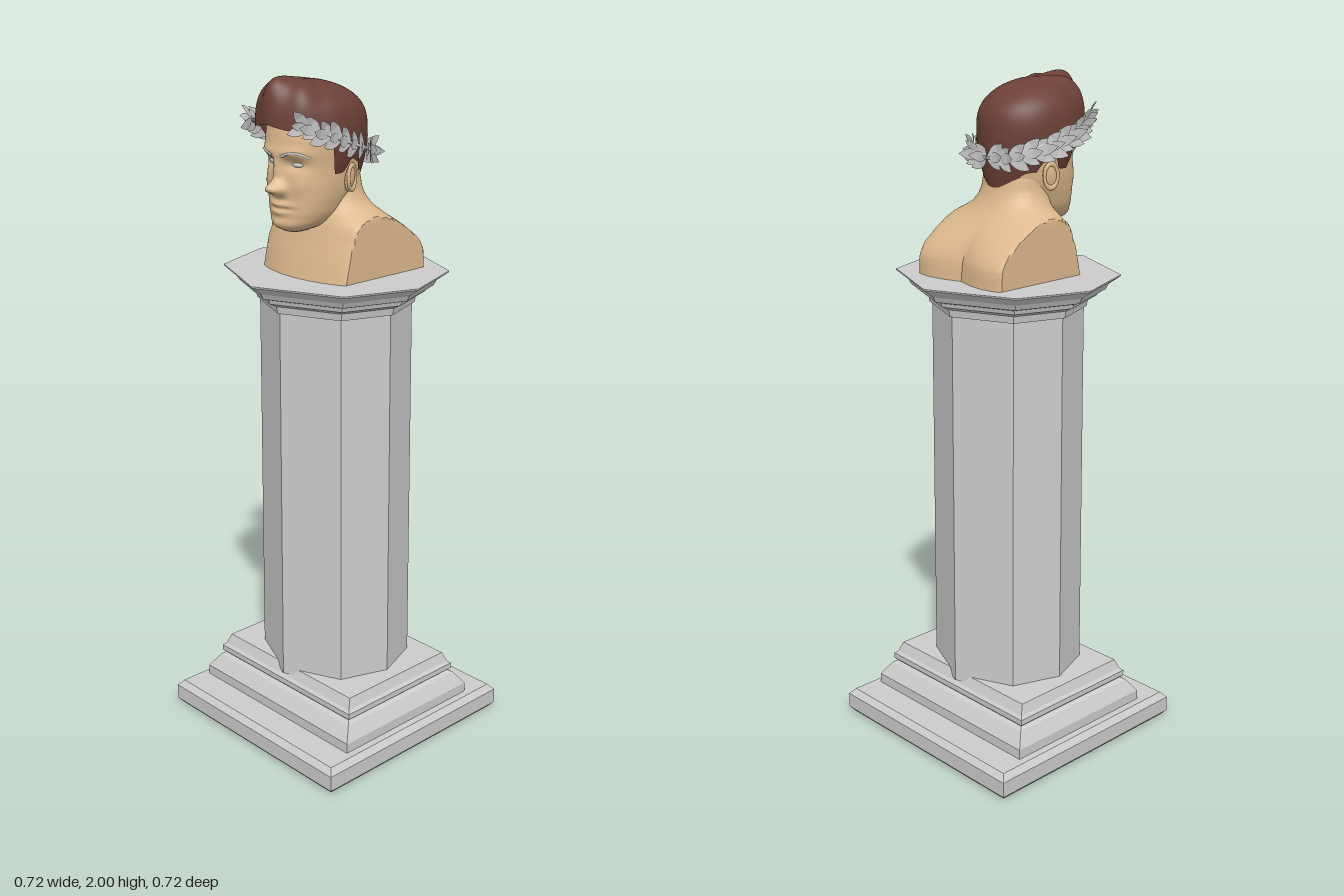
import * as THREE from 'three';
import { toCreasedNormals } from 'three/addons/utils/BufferGeometryUtils.js';

const GREY = 0xcccccc, SKIN = 0xdcb88c, HAIR = 0x6b4037;
const gauss = (d, s) => Math.exp(-(d * d) / (2 * s * s));
const spow = (v, p) => Math.sign(v) * Math.abs(v) ** p;

function material(color, flat = false) {
  return new THREE.MeshStandardMaterial({ color, flatShading: flat, side: THREE.DoubleSide });
}

function addMesh(parent, name, geometry, mat) {
  const mesh = new THREE.Mesh(geometry, mat);
  mesh.name = name;
  parent.add(mesh);
  return mesh;
}

// Skin over closed rings of [x, y, z] points, listed from bottom to top
function loft(rings, capped = true) {
  const n = rings[0].length, pos = rings.flat(2), index = [];
  for (let i = 0; i < rings.length - 1; i++) {
    for (let j = 0; j < n; j++) {
      const k = (j + 1) % n, a = i * n, b = a + n;
      index.push(a + j, a + k, b + k, a + j, b + k, b + j);
    }
  }
  if (capped) {
    const last = (rings.length - 1) * n, c = rings.length * n;
    pos.push(0, rings[0][0][1], 0, 0, rings.at(-1)[0][1], 0);
    for (let j = 0; j < n; j++) {
      const k = (j + 1) % n;
      index.push(c, k, j, c + 1, last + j, last + k);
    }
  }
  const g = new THREE.BufferGeometry();
  g.setAttribute('position', new THREE.Float32BufferAttribute(pos, 3));
  g.setIndex(index);
  g.computeVertexNormals();
  return g;
}

// Smooth lookup in a table of [y, front z, back z, half width]
function profile(table) {
  const curve = new THREE.CubicInterpolant(table.map(r => r[0]), table.flatMap(r => r.slice(1)), 3);
  return y => {
    const [front, back, w] = curve.evaluate(y);
    return { w, zc: (front + back) / 2, d: (front - back) / 2 };
  };
}

function smoothRings(y0, y1, rows, seg, point) {
  return Array.from({ length: rows + 1 }, (_, i) =>
    Array.from({ length: seg }, (_, j) => point(j / seg * Math.PI * 2, y0 + (y1 - y0) * i / rows)));
}

// Face relief: [x, y, spread x, spread y, height], mirrored in x
const RELIEF = [
  [0, 1.75, 0.012, 0.03, 0.02], [0, 1.7, 0.016, 0.014, 0.042], [0.018, 1.694, 0.008, 0.008, 0.014],
  [0.045, 1.797, 0.03, 0.01, 0.008], [0.05, 1.765, 0.02, 0.012, -0.014],
  [0, 1.654, 0.025, 0.006, 0.013], [0, 1.633, 0.02, 0.007, 0.011], [0, 1.643, 0.03, 0.003, -0.006],
  [0, 1.6, 0.022, 0.014, 0.008], [0.07, 1.71, 0.02, 0.02, 0.006],
];
const relief = (x, y) => RELIEF.reduce((s, [bx, by, sx, sy, h]) =>
  s + h * gauss(Math.abs(x) - bx, sx) * gauss(y - by, sy), 0);

const headAt = profile([
  [1.575, 0.185, 0.12, 0.03], [1.59, 0.208, 0.075, 0.06], [1.62, 0.212, 0.03, 0.085],
  [1.66, 0.211, 0, 0.1], [1.7, 0.211, -0.04, 0.109], [1.76, 0.211, -0.055, 0.114],
  [1.8, 0.218, -0.065, 0.118], [1.85, 0.212, -0.065, 0.12], [1.9, 0.195, -0.05, 0.11], [1.94, 0.15, 0, 0.07],
]);
const faceZ = (x, y) => {
  const { w, zc, d } = headAt(y), p = 2 / 0.85;
  return zc + d * (1 - Math.abs(x / w) ** p) ** (1 / p) + relief(x, y);
};
const headPoint = (a, y) => {
  const { w, zc, d } = headAt(y), c = Math.cos(a);
  const x = w * spow(Math.sin(a), 0.85);
  return [x, y, zc + d * spow(c, 0.85) + (c > 0 ? relief(x, y) * Math.min(1, c * 3) : 0)];
};

// Neck and shoulders, cut off straight at the arms, with a groove down the back
const torsoAt = profile([
  [1.44, 0.165, -0.18, 0.27], [1.5, 0.148, -0.172, 0.27], [1.55, 0.132, -0.15, 0.25], [1.59, 0.12, -0.118, 0.22],
  [1.61, 0.115, -0.1, 0.18], [1.635, 0.11, -0.08, 0.135], [1.67, 0.11, -0.062, 0.108], [1.72, 0.1, -0.05, 0.098],
]);
const torsoPoint = (a, y) => {
  const { w, zc, d } = torsoAt(y), c = Math.cos(a);
  const x = THREE.MathUtils.clamp(w * Math.sin(a), -0.172, 0.172);
  const blade = 0.065 * Math.min(1, Math.abs(x) / 0.17) * Math.max(0, -c) * THREE.MathUtils.smoothstep(1.62 - y, 0, 0.13);
  return [x, y, zc + d * c - blade];
};

// Hairline height by angle from the front, in degrees
const HAIRLINE = [[0, 1.87], [60, 1.85], [75, 1.81], [80, 1.74], [92, 1.74], [100, 1.78],
  [115, 1.76], [125, 1.7], [180, 1.69]];
function hairline(a) {
  const deg = Math.abs(THREE.MathUtils.radToDeg(Math.atan2(Math.sin(a), Math.cos(a))));
  const i = Math.max(1, HAIRLINE.findIndex(h => h[0] >= deg - 1e-6));
  const [p, q] = [HAIRLINE[i - 1], HAIRLINE[i]];
  return THREE.MathUtils.mapLinear(deg, p[0], q[0], p[1], q[1]);
}
const hairPoint = (a, v) => {
  const cy = 1.84, ry = 0.143, c = Math.cos(a), s = Math.sin(a), front = Math.max(0, c);
  const low = (hairline(a) - cy) / ry;
  const t = low + (1 - low) * Math.sin(v * Math.PI / 2);
  let r = t > 0 ? Math.sqrt(Math.max(0, 1 - t ** 3)) : 1;
  r = THREE.MathUtils.lerp(r, r ** 0.3, front ** 3);
  const lock = 1 + 0.05 * Math.cos(8 * a) * front * Math.max(0, t);
  const under = t < 0 ? t * t : 0;
  const x = 0.14 * s * r * lock * (1 - 0.3 * under);
  const z = 0.09 + 0.165 * c * r * lock * (1 - 0.1 * under);
  const wave = 0.006 * Math.cos(8 * a) * front * r * Math.max(0, t);
  return [x, cy + ry * t + 0.12 * (z - 0.09) * Math.max(0, t) + wave, z];
};

// Pointed leaf with a fold along its midrib
function leafGeometry() {
  const shape = new THREE.Shape();
  shape.quadraticCurveTo(0.03, 0.03, 0, 0.068);
  shape.quadraticCurveTo(-0.03, 0.03, 0, 0);
  const g = new THREE.ShapeGeometry(shape, 5), p = g.attributes.position;
  for (let i = 0; i < p.count; i++) p.setZ(i, -0.35 * Math.abs(p.getX(i)));
  g.computeVertexNormals();
  return g;
}

function addWreath(parent) {
  const wreath = new THREE.Group();
  wreath.name = 'wreath';
  parent.add(wreath);
  const leaf = leafGeometry(), mat = material(GREY, true);
  for (const side of [1, -1]) {
    const curve = new THREE.CatmullRomCurve3([
      [0, 1.775, -0.078], [0.07, 1.78, -0.062], [0.122, 1.797, 0], [0.142, 1.822, 0.08],
      [0.135, 1.85, 0.155], [0.112, 1.87, 0.205],
    ].map(([x, y, z]) => new THREE.Vector3(x * side, y, z)));
    addMesh(wreath, 'wreathStem', new THREE.TubeGeometry(curve, 30, 0.006, 6), mat);
    for (let i = 0; i < 12; i++) {
      const u = i / 11, p = curve.getPointAt(u), tangent = curve.getTangentAt(u);
      const out = new THREE.Vector3(p.x, 0, p.z - 0.08).normalize();
      const up = out.clone().cross(tangent).normalize();
      // three leaves at each node, fanned around the stem
      [-0.6, 0.05, 0.6].forEach((fan, k) => {
        const dir = tangent.clone().addScaledVector(up, fan).addScaledVector(out, k === 1 ? 0.3 : 0.15).normalize();
        const across = dir.clone().cross(out).normalize();
        const normal = across.clone().cross(dir);
        const mesh = addMesh(wreath, 'wreathLeaf', leaf, mat);
        mesh.quaternion.setFromRotationMatrix(new THREE.Matrix4().makeBasis(across, dir, normal));
        mesh.position.copy(p).addScaledVector(out, 0.004);
        mesh.scale.setScalar(0.9 + 0.1 * ((i + k) % 3) - (u > 0.9 ? 0.1 : 0));
      });
    }
  }
}

function addPedestal(parent) {
  const stone = material(GREY, true);
  const rect = ([x, z, y]) => [[-x, y, z], [x, y, z], [x, y, -z], [-x, y, -z]];
  addMesh(parent, 'baseSlab', loft([[0.345, 0.345, 0], [0.358, 0.358, 0.015], [0.358, 0.358, 0.062],
    [0.342, 0.342, 0.08]].map(rect)), stone);
  addMesh(parent, 'steppedPlinth', loft([[0.32, 0.257, 0.08], [0.32, 0.257, 0.11], [0.295, 0.228, 0.15],
    [0.283, 0.215, 0.158], [0.291, 0.222, 0.165], [0.291, 0.222, 0.182], [0.282, 0.213, 0.19],
    [0.272, 0.2, 0.22]].map(rect)), stone);

  // Octagon with a corner facing the front, sized by its half width
  const octagon = ([r, y]) => [[0, 0.963], [0.764, 0.63], [1, 0], [0.764, -0.63], [0, -0.963], [-0.764, -0.63],
    [-1, 0], [-0.764, 0.63]].map(([x, z]) => [x * r, y, z * r]);
  addMesh(parent, 'shaft', loft([[0.229, 0.2], [0.224, 1.36]].map(octagon)), stone);
  addMesh(parent, 'capital', loft([[0.232, 1.345], [0.236, 1.366], [0.262, 1.378], [0.266, 1.39], [0.286, 1.396],
    [0.295, 1.412], [0.33, 1.436], [0.33, 1.44]].map(octagon)), stone);
}

function addBust(parent) {
  const skin = material(SKIN), grey = material(GREY);
  const torso = loft(smoothRings(1.44, 1.72, 40, 96, torsoPoint), false);
  addMesh(parent, 'neckAndShoulders', toCreasedNormals(torso, 0.6), skin);
  addMesh(parent, 'head', loft(smoothRings(1.575, 1.94, 90, 120, headPoint)), skin);
  addMesh(parent, 'hair', loft(smoothRings(0, 1, 36, 120, hairPoint), false), material(HAIR));
  for (const side of [1, -1]) {
    const eye = addMesh(parent, 'eye', new THREE.SphereGeometry(1, 20, 12), grey);
    eye.scale.set(0.019, 0.0075, 0.008);
    eye.position.set(side * 0.05, 1.765, faceZ(0.05, 1.765) - 0.002);
    eye.rotation.y = side * 0.3;
    const brow = new THREE.CatmullRomCurve3([[0.02, 1.787], [0.045, 1.797], [0.07, 1.798], [0.09, 1.785]]
      .map(([x, y]) => new THREE.Vector3(side * x, y, faceZ(x, y))));
    addMesh(parent, 'eyebrow', new THREE.TubeGeometry(brow, 16, 0.0035, 6), grey);
    const ear = addMesh(parent, 'ear', new THREE.SphereGeometry(1, 16, 12), skin);
    ear.scale.set(0.01, 0.038, 0.023);
    ear.position.set(side * 0.115, 1.722, 0.055);
    ear.rotation.set(-0.2, side * 0.35, 0);
    const rim = addMesh(parent, 'earRim', new THREE.TorusGeometry(0.021, 0.005, 8, 20), skin);
    rim.scale.set(1, 1.6, 1);
    rim.position.set(side * 0.121, 1.724, 0.053);
    rim.rotation.y = side * (Math.PI / 2 + 0.35);
  }
  addWreath(parent);
}

export function createModel() {
  const model = new THREE.Group();
  model.name = 'bustOnPedestal';
  for (const [name, build] of [['pedestal', addPedestal], ['bust', addBust]]) {
    const part = new THREE.Group();
    part.name = name;
    build(part);
    model.add(part);
  }
  return model;
}
